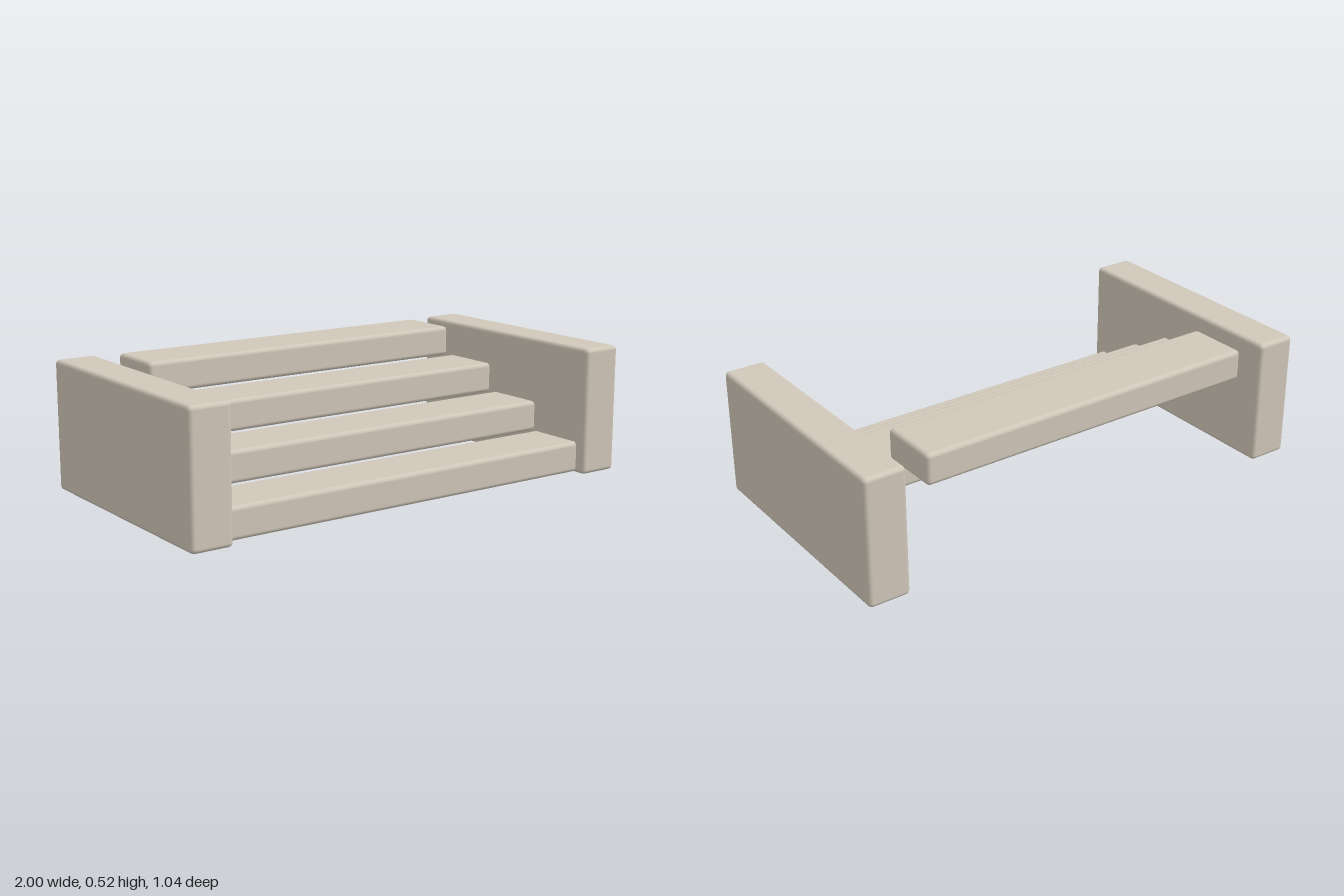
import * as THREE from 'three';
import { RoundedBoxGeometry } from 'three/addons/geometries/RoundedBoxGeometry.js';

export function createModel() {
  const model = new THREE.Group();
  model.name = 'steps';
  const material = new THREE.MeshStandardMaterial({ color: 0xd0c7b9 });

  // Block with softly rounded edges, placed by its centre
  function addBlock(name, w, h, d, x, y, z) {
    const mesh = new THREE.Mesh(new RoundedBoxGeometry(w, h, d, 3, 0.018), material);
    mesh.name = name;
    mesh.position.set(x, y, z);
    model.add(mesh);
  }

  // Side walls
  addBlock('leftWall', 0.17, 0.52, 1.04, 0.915, 0.26, 0);
  addBlock('rightWall', 0.17, 0.52, 1.04, -0.915, 0.26, 0);

  // Four treads, rising and narrowing towards the back
  for (let i = 0; i < 4; i++) {
    addBlock('tread' + (i + 1), 1.74 - i * 0.09, 0.126, 0.256, 0, 0.067 + i * 0.13, 0.346 - i * 0.2395);
  }
  return model;
}
